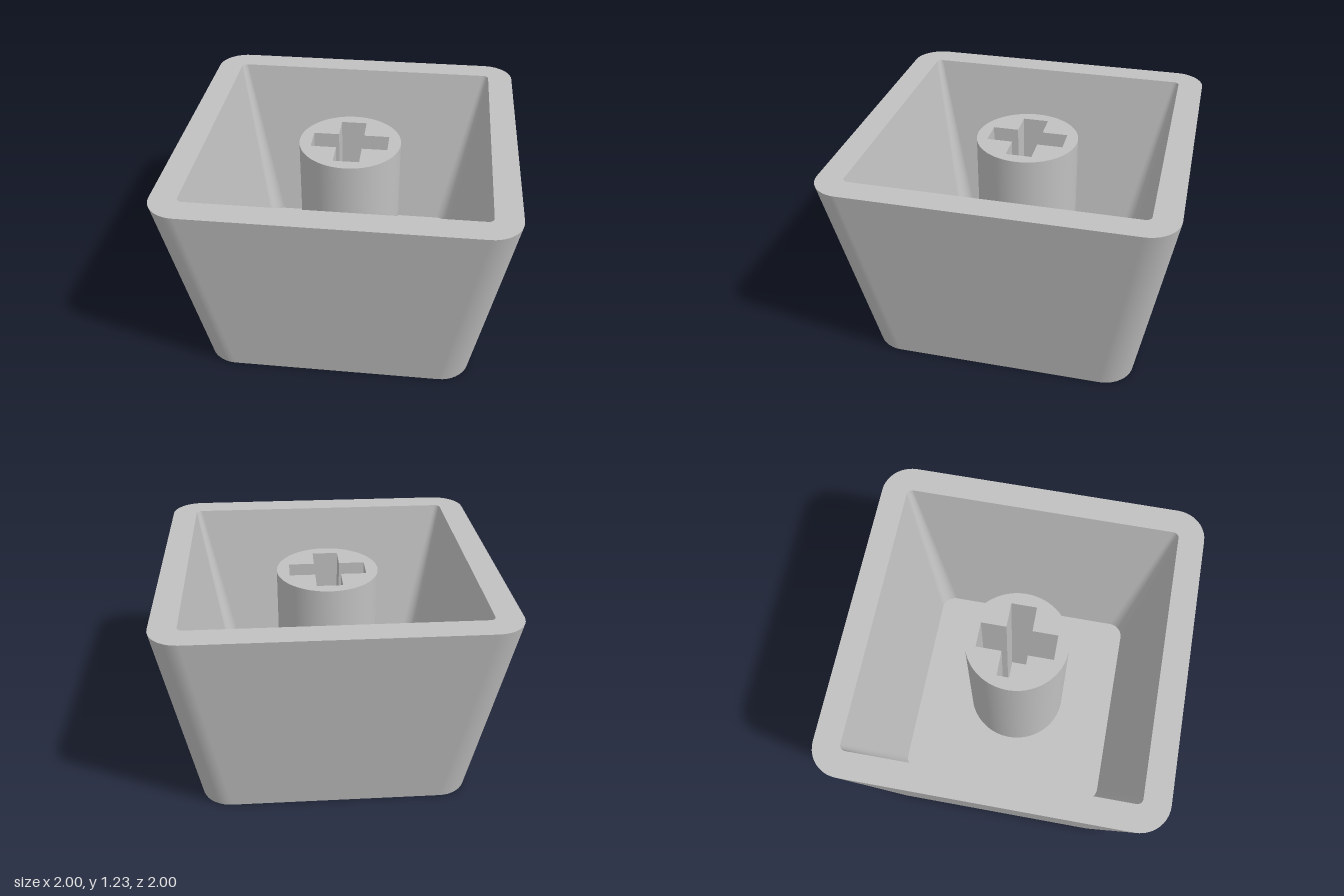
import * as THREE from 'three';
import { toCreasedNormals } from 'three/addons/utils/BufferGeometryUtils.js';

const HEIGHT = 1.225, FLOOR = 0.16, STEM_TOP = 1.155;

// Rounded square outline, counter-clockwise, always with the same point count
function roundedSquare(half, radius, steps = 10) {
  const points = [];
  for (let corner = 0; corner < 4; corner++) {
    const mid = Math.PI / 4 + corner * Math.PI / 2;
    const cx = Math.sign(Math.cos(mid)) * (half - radius);
    const cy = Math.sign(Math.sin(mid)) * (half - radius);
    for (let i = 0; i <= steps; i++) {
      const a = (corner + i / steps) * Math.PI / 2;
      points.push(new THREE.Vector2(cx + radius * Math.cos(a), cy + radius * Math.sin(a)));
    }
  }
  return points;
}

// Wall between two outlines; faces outward when going up, inward when going down
function loft(from, y0, to, y1) {
  const n = from.length, positions = [], index = [];
  from.forEach(p => positions.push(p.x, y0, -p.y));
  to.forEach(p => positions.push(p.x, y1, -p.y));
  for (let i = 0; i < n; i++) {
    const j = (i + 1) % n;
    index.push(i, j, n + j, i, n + j, n + i);
  }
  const geometry = new THREE.BufferGeometry();
  geometry.setAttribute('position', new THREE.Float32BufferAttribute(positions, 3));
  geometry.setIndex(index);
  geometry.computeVertexNormals();
  return geometry;
}

// Flat horizontal face, looking up or down
function flatFace(outline, y, hole, down = false) {
  const shape = new THREE.Shape(outline);
  if (hole) shape.holes.push(new THREE.Path(hole));
  return new THREE.ShapeGeometry(shape).rotateX(down ? Math.PI / 2 : -Math.PI / 2).translate(0, y, 0);
}

export function createModel() {
  const group = new THREE.Group();
  const grey = new THREE.MeshStandardMaterial({ color: 0xc0c0c0 });
  grey.name = 'grey plastic';
  const add = (name, geometry) => {
    const mesh = new THREE.Mesh(geometry, grey);
    mesh.name = name;
    group.add(mesh);
  };

  const outerBase = roundedSquare(0.805, 0.18), outerTop = roundedSquare(1, 0.18);
  const innerBase = roundedSquare(0.65, 0.09), innerTop = roundedSquare(0.845, 0.035);

  // Hollow tapered shell
  add('outerWall', loft(outerBase, 0, outerTop, HEIGHT));
  add('innerWall', loft(innerTop, HEIGHT, innerBase, FLOOR));
  add('rim', flatFace(outerTop, HEIGHT, innerTop));
  add('cavityFloor', flatFace(innerBase, FLOOR));
  add('underside', flatFace(outerBase, 0, null, true));

  // Round stem with a cross-shaped socket
  const stem = new THREE.Shape().absarc(0, 0, 0.31, 0, Math.PI * 2);
  const w = 0.078, l = 0.233;
  const cross = [[w, w], [w, l], [-w, l], [-w, w], [-l, w], [-l, -w], [-w, -w],
    [-w, -l], [w, -l], [w, -w], [l, -w], [l, w]];
  stem.holes.push(new THREE.Path(cross.map(([x, y]) => new THREE.Vector2(x, y))));
  const stemGeometry = new THREE.ExtrudeGeometry(stem, {
    depth: STEM_TOP - FLOOR, bevelEnabled: false, curveSegments: 48,
  }).rotateX(-Math.PI / 2).translate(0, FLOOR, 0);
  add('stem', toCreasedNormals(stemGeometry, 0.5));

  return group;
}
